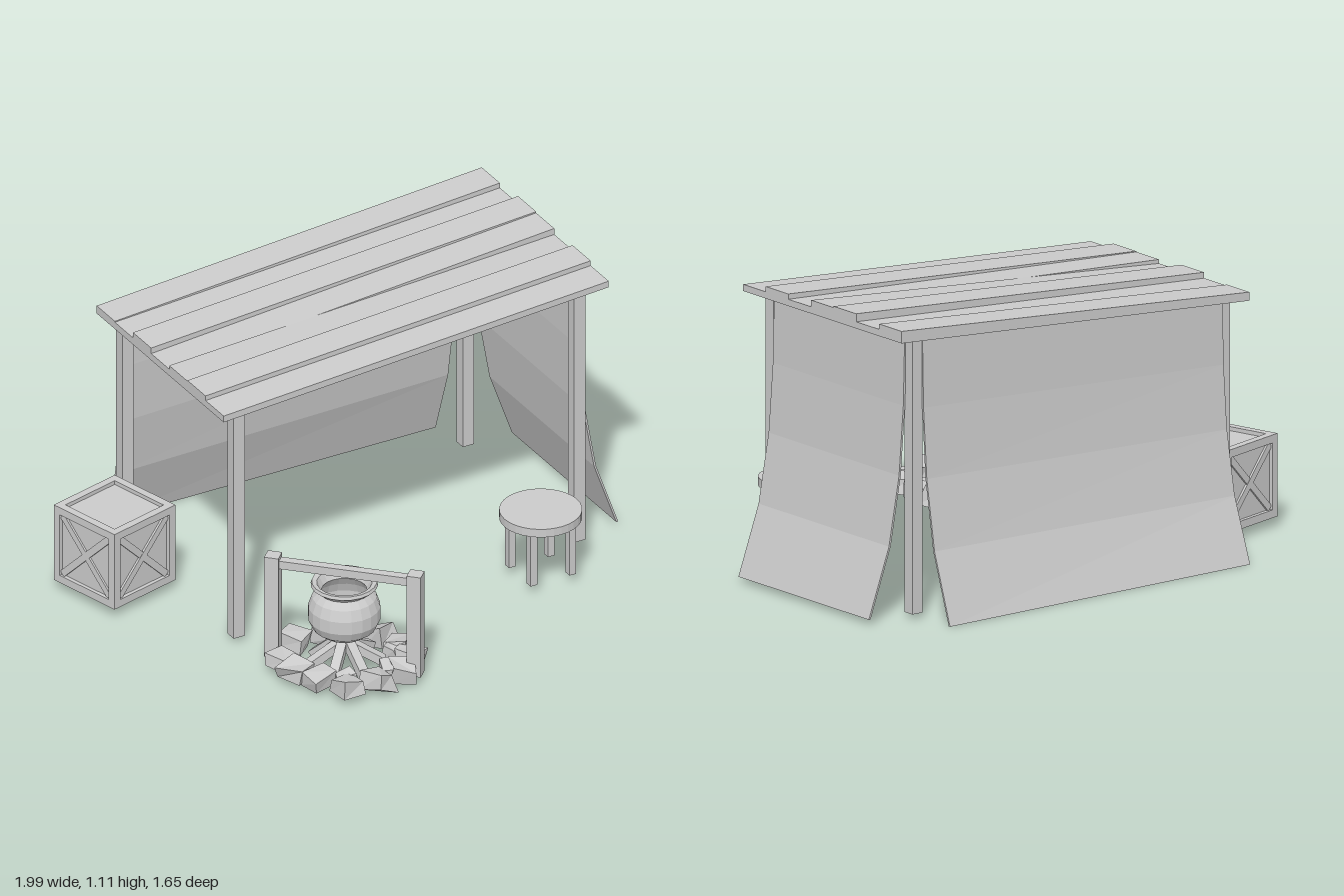
import * as THREE from 'three';

const mat = new THREE.MeshStandardMaterial({ color: 0xcccccc, flatShading: true, side: THREE.DoubleSide });

function add(parent, name, geo, x = 0, y = 0, z = 0) {
  const m = new THREE.Mesh(geo, mat);
  m.name = name;
  m.position.set(x, y, z);
  parent.add(m);
  return m;
}
const box = (w, h, d) => new THREE.BoxGeometry(w, h, d);

// Move every vertex of a geometry by a rule
function warp(geo, rule) {
  const p = geo.attributes.position, v = new THREE.Vector3();
  for (let i = 0; i < p.count; i++) {
    v.fromBufferAttribute(p, i);
    rule(v);
    p.setXYZ(i, v.x, v.y, v.z);
  }
  geo.computeVertexNormals();
  return geo;
}

// Piecewise linear lookup over evenly spaced samples, t in 0..1
function sample(a, t) {
  const f = t * (a.length - 1), i = Math.min(Math.floor(f), a.length - 2);
  return a[i] + (a[i + 1] - a[i]) * (f - i);
}

const roofUnder = x => 0.945 + 0.06875 * (x + 0.69);

function makeShelter() {
  const g = new THREE.Group();
  g.name = 'shelter';

  // Sloping roof planks: thickness at the low and high end of each
  const planks = [[0.026, 0.025], [0.045, 0.045], [0.042, 0.025], [0.027, 0.05],
    [0.05, 0.055], [0.028, 0.025], [0.032, 0.045]];
  const w = 0.92 / planks.length;
  planks.forEach(([lo, hi], i) => {
    const geo = warp(box(1, 1, w), v => {
      const t = v.x + 0.5, top = v.y > 0;
      v.x = -0.69 + 1.6 * t;
      v.y = roofUnder(v.x) + (top ? lo + (hi - lo) * t : 0);
    });
    add(g, 'roofPlank', geo, 0, 0, 0.215 - w * (i + 0.5));
  });

  // Corner posts cut to the roof slope
  for (const x of [-0.61, 0.805]) for (const z of [0.165, -0.642]) {
    const geo = warp(box(0.046, 1, 0.046), v => {
      v.y = v.y > 0 ? roofUnder(v.x + x) + 0.005 : 0.02;
    });
    add(g, 'post', geo, x, 0, z);
  }

  // Hanging cloths, flaring outward toward the ground
  const flare = [0.16, 0.07, 0.025, 0.006, 0];
  add(g, 'backCloth', warp(new THREE.BoxGeometry(1.38, 1, 0.008, 1, 4, 1), v => {
    const t = v.y + 0.5;
    v.x += 0.095;
    v.z += -0.665 - sample(flare, t);
    v.y = 0.002 + t * roofUnder(v.x);
  }));
  add(g, 'sideCloth', warp(new THREE.BoxGeometry(0.008, 1, 0.757, 1, 4, 1), v => {
    const t = v.y + 0.5;
    v.x += 0.828 + sample(flare, t) * 1.03;
    v.z -= 0.246;
    v.y = 0.02 + t * 1.03;
  }));
  return g;
}

function makeStool() {
  const g = new THREE.Group();
  g.name = 'stool';
  add(g, 'seat', new THREE.CylinderGeometry(0.15, 0.15, 0.033, 32), 0, 0.268, 0);
  for (const x of [-0.081, 0.081]) for (const z of [-0.078, 0.078])
    add(g, 'stoolLeg', box(0.028, 0.22, 0.028), x, 0.145, z);
  g.position.set(0.567, 0, 0.32);
  return g;
}

function makeCrate() {
  const g = new THREE.Group();
  g.name = 'crate';
  const S = 0.31, b = 0.03, h = (S - b) / 2, inner = S - 2 * b;
  add(g, 'crateBody', box(S - 0.03, S - 0.03, S - 0.03));
  // Frame bars along all twelve edges
  for (const a of [-h, h]) for (const c of [-h, h]) {
    add(g, 'crateUpright', box(b, S, b), a, 0, c);
    add(g, 'crateRail', box(inner, b, b), 0, a, c);
    add(g, 'crateRail', box(b, b, inner), a, c, 0);
  }
  add(g, 'crateBottom', box(inner, 0.012, inner), 0, -S / 2 + 0.007, 0);
  // Crossed braces on the four sides
  for (let i = 0; i < 4; i++) {
    const side = new THREE.Group();
    side.name = 'crateBraces';
    side.rotation.y = i * Math.PI / 2;
    for (const s of [-1, 1]) {
      const m = add(side, 'brace', box(inner * 1.35, 0.026, 0.01), 0, 0, S / 2 - 0.012 + s * 0.0005);
      m.rotation.z = s * Math.PI / 4;
    }
    g.add(side);
  }
  g.position.set(-0.808, 0.195, -0.37);
  g.rotation.y = 0.262;
  return g;
}

function makeFirePit() {
  const g = new THREE.Group();
  g.name = 'firePit';
  let seed = 7;
  const rnd = () => (seed = (seed * 16807) % 2147483647) / 2147483647;

  // Open pot with flared rim
  const profile = [[0, 0.152], [0.075, 0.155], [0.115, 0.185], [0.131, 0.22], [0.131, 0.27], [0.117, 0.31],
    [0.095, 0.335], [0.122, 0.358], [0.118, 0.37], [0.1, 0.366], [0.082, 0.335], [0.105, 0.3],
    [0.118, 0.265], [0.118, 0.225], [0.07, 0.17], [0, 0.168]];
  add(g, 'pot', new THREE.LatheGeometry(profile.map(p => new THREE.Vector2(...p)), 20));

  // Hanging frame set diagonally
  const frame = new THREE.Group();
  frame.name = 'potFrame';
  frame.rotation.y = -Math.PI / 4;
  for (const s of [-1, 1]) add(frame, 'framePost', box(0.053, 0.412, 0.053), s * 0.266, 0.234, 0);
  add(frame, 'frameBeam', box(0.53, 0.032, 0.034), 0, 0.41, 0);
  g.add(frame);

  // Ring of rough stones: [x, z] around the pot
  const stones = [[-0.09, -0.205], [0.025, -0.18], [0.125, -0.155], [0.2, -0.085], [0.215, 0.015], [0.215, 0.115],
    [0.135, 0.185], [0.025, 0.205], [-0.095, 0.19], [-0.15, 0.085], [-0.205, 0], [-0.2, -0.1],
    [0.17, 0.05], [-0.07, 0.14], [0.09, 0.16]];
  stones.forEach(([x, z], i) => {
    const size = i < 12 ? 0.088 : 0.06;
    const jitter = Array.from({ length: 24 }, () => (rnd() - 0.5) * 0.026);
    const geo = warp(box(size, 0.062, size), v => {
      const k = 3 * ((v.x > 0 ? 1 : 0) + (v.y > 0 ? 2 : 0) + (v.z > 0 ? 4 : 0));
      v.set(v.x + jitter[k], v.y + jitter[k + 1], v.z + jitter[k + 2]);
    });
    const m = add(g, 'stone', geo, x, 0.053, z);
    m.rotation.set((rnd() - 0.5) * 0.35, rnd() * 3, (rnd() - 0.5) * 0.35);
  });

  // Firewood leaning to the middle
  for (let i = 0; i < 7; i++) {
    const arm = new THREE.Group();
    arm.name = 'firewood';
    arm.rotation.y = i * Math.PI * 2 / 7 + 0.3;
    const log = add(arm, 'log', box(0.15, 0.032, 0.036), 0.075, 0.085, 0);
    log.rotation.z = -0.5 - 0.12 * (i % 3);
    g.add(arm);
  }
  g.position.set(-0.385, 0, 0.557);
  return g;
}

export function createModel() {
  const model = new THREE.Group();
  model.name = 'campShelter';
  model.add(makeShelter(), makeStool(), makeCrate(), makeFirePit());
  return model;
}
